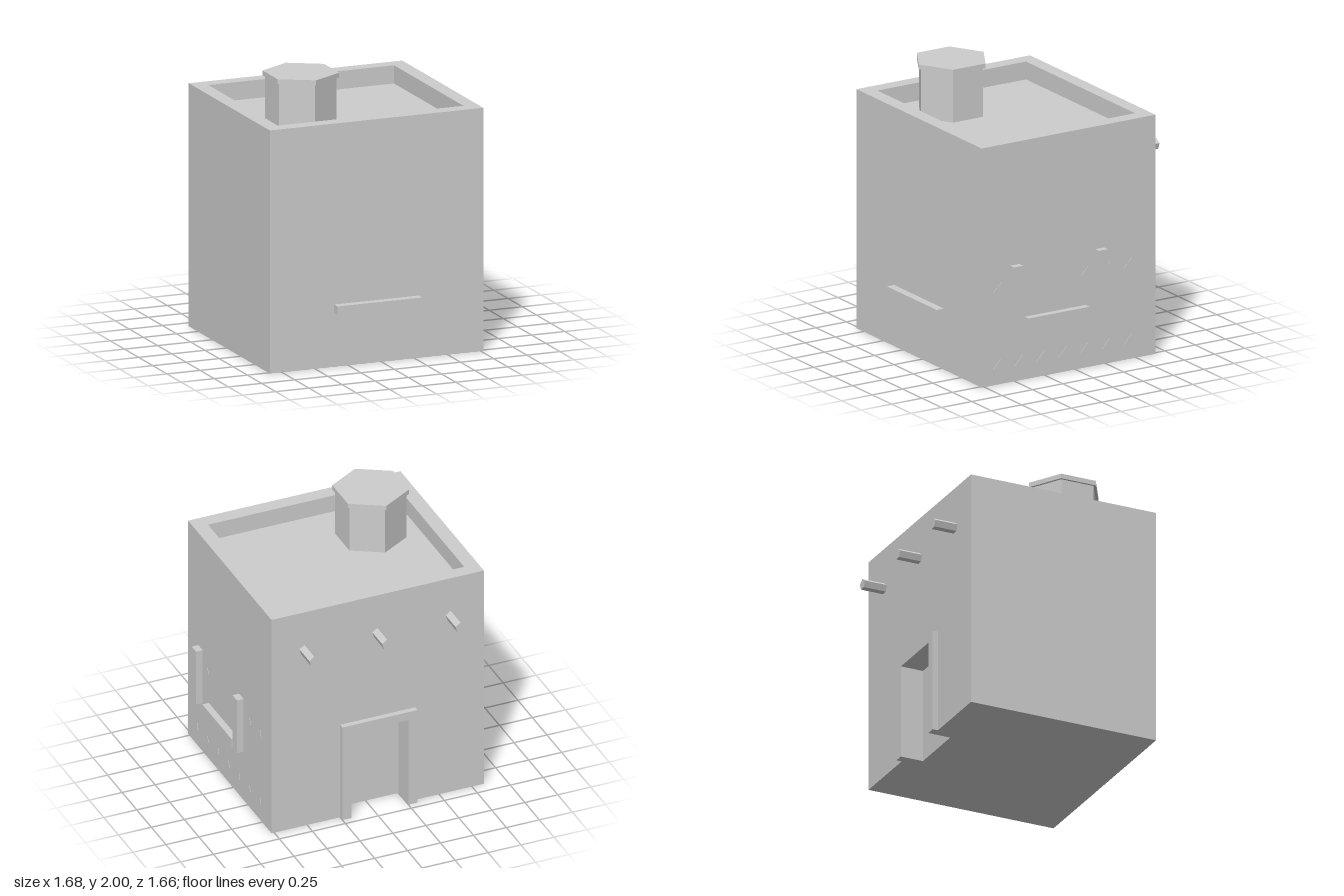
import * as THREE from 'three';

export function createModel() {
  const model = new THREE.Group();
  const plaster = new THREE.MeshStandardMaterial({ color: 0xcccccc, flatShading: true });
  plaster.name = 'plaster';

  function add(name, geometry, x = 0, y = 0, z = 0, parent = model) {
    const mesh = new THREE.Mesh(geometry, plaster);
    mesh.name = name;
    mesh.position.set(x, y, z);
    parent.add(mesh);
    return mesh;
  }
  // box given by its low and high corners
  function block(name, [x0, y0, z0], [x1, y1, z1]) {
    return add(name, new THREE.BoxGeometry(x1 - x0, y1 - y0, z1 - z0),
      (x0 + x1) / 2, (y0 + y1) / 2, (z0 + z1) / 2);
  }
  const polygon = (pts) => new THREE.Shape(pts.map(([x, y]) => new THREE.Vector2(x, y)));
  const rect = (x0, y0, x1, y1) => polygon([[x0, y0], [x1, y0], [x1, y1], [x0, y1]]);

  // House shell: outer limits, parapet inner limits, door opening
  const X0 = -0.84, X1 = 0.77, Z0 = -0.66, Z1 = 0.77, H = 1.74;
  const x0 = -0.735, x1 = 0.665, z0 = -0.56, z1 = 0.665, roofY = 1.61;
  const dx0 = -0.25, dx1 = 0.18, doorH = 0.69, doorZ = -0.53;
  const house = new THREE.Group();
  house.name = 'house';
  model.add(house);

  // flat panel facing one direction, drawn in that direction's own plane
  const turns = {
    front: [0, 0], back: [0, Math.PI], left: [0, Math.PI / 2], right: [0, -Math.PI / 2],
    up: [-Math.PI / 2, 0], down: [Math.PI / 2, 0],
  };
  function panel(name, facing, shape, x, y, z) {
    const g = new THREE.ShapeGeometry(shape);
    g.rotateX(turns[facing][0]).rotateY(turns[facing][1]);
    add(name, g, x, y, z, house);
  }

  // Outer walls
  panel('frontWall', 'front', rect(X0, 0, X1, H), 0, 0, Z1);
  panel('leftWall', 'left', rect(-Z1, 0, -Z0, H), X1, 0, 0);
  panel('rightWall', 'right', rect(Z0, 0, Z1, H), X0, 0, 0);
  panel('backWall', 'back', polygon([[-X1, 0], [-dx1, 0], [-dx1, doorH], [-dx0, doorH],
    [-dx0, 0], [-X0, 0], [-X0, H], [-X1, H]]), 0, 0, Z0);
  panel('base', 'down', polygon([[X0, Z0], [dx0, Z0], [dx0, doorZ], [dx1, doorZ],
    [dx1, Z0], [X1, Z0], [X1, Z1], [X0, Z1]]), 0, 0, 0);

  // Parapet and sunken roof
  const rim = rect(X0, -Z1, X1, -Z0);
  rim.holes.push(rect(x0, -z1, x1, -z0));
  panel('parapetTop', 'up', rim, 0, H, 0);
  panel('roof', 'up', rect(x0, -z1, x1, -z0), 0, roofY, 0);
  panel('parapetInner', 'front', rect(x0, roofY, x1, H), 0, 0, z0);
  panel('parapetInner', 'back', rect(-x1, roofY, -x0, H), 0, 0, z1);
  panel('parapetInner', 'left', rect(-z1, roofY, -z0, H), x0, 0, 0);
  panel('parapetInner', 'right', rect(z0, roofY, z1, H), x1, 0, 0);

  // Door recess
  panel('door', 'back', rect(-dx1, 0, -dx0, doorH), 0, 0, doorZ);
  panel('doorJamb', 'left', rect(-doorZ, 0, -Z0, doorH), dx0, 0, 0);
  panel('doorJamb', 'right', rect(Z0, 0, doorZ, doorH), dx1, 0, 0);
  panel('doorLintel', 'down', rect(dx0, Z0, dx1, doorZ), 0, doorH, 0);

  // Door frame
  const frame = polygon([[-0.25, 0], [-dx1, 0], [-dx1, doorH], [-dx0, doorH],
    [-dx0, 0], [0.32, 0], [0.32, 0.755], [-0.25, 0.755]]);
  add('doorFrame', new THREE.ExtrudeGeometry(frame, { depth: 0.04, bevelEnabled: false }),
    0, 0, Z0).rotation.y = Math.PI;

  // Chimney with cap
  add('chimney', new THREE.CylinderGeometry(0.25, 0.25, 1.965 - roofY, 6),
    -0.395, (1.965 + roofY) / 2, 0.275);
  add('chimneyCap', new THREE.CylinderGeometry(0.268, 0.268, 0.035, 6), -0.395, 1.9825, 0.275);

  // Five-sided roof beams poking out of the back wall
  for (const x of [-0.588, -0.032, 0.521]) {
    const g = new THREE.CylinderGeometry(0.04, 0.04, 0.17, 5);
    g.rotateX(-Math.PI / 2);
    add('roofBeam', g, x, 1.435, -0.745);
  }

  // Sills and shutters
  block('frontSill', [-0.355, 0.385, Z1], [0.285, 0.445, 0.83]);
  block('sideSill', [X1, 0.39, -0.085], [0.82, 0.455, 0.415]);
  for (const z of [-0.225, 0.475]) block('shutter', [0.79, 0.425, z], [0.84, 0.855, z + 0.075]);

  // Small plaster chips on the side wall
  const chip = new THREE.ExtrudeGeometry(polygon([[0, 0], [0.085, 0.015], [0.065, 0.07]]),
    { depth: 0.003, bevelEnabled: false });
  chip.rotateY(Math.PI / 2);
  const rows = [[0.112, [0, 1, 2, 3, 4, 5, 6]], [0.668, [0, 1, 4, 5, 6]]];
  for (const [y, columns] of rows)
    for (const k of columns) add('wallChip', chip, X1, y, 0.68 - 0.18 * k);

  return model;
}
